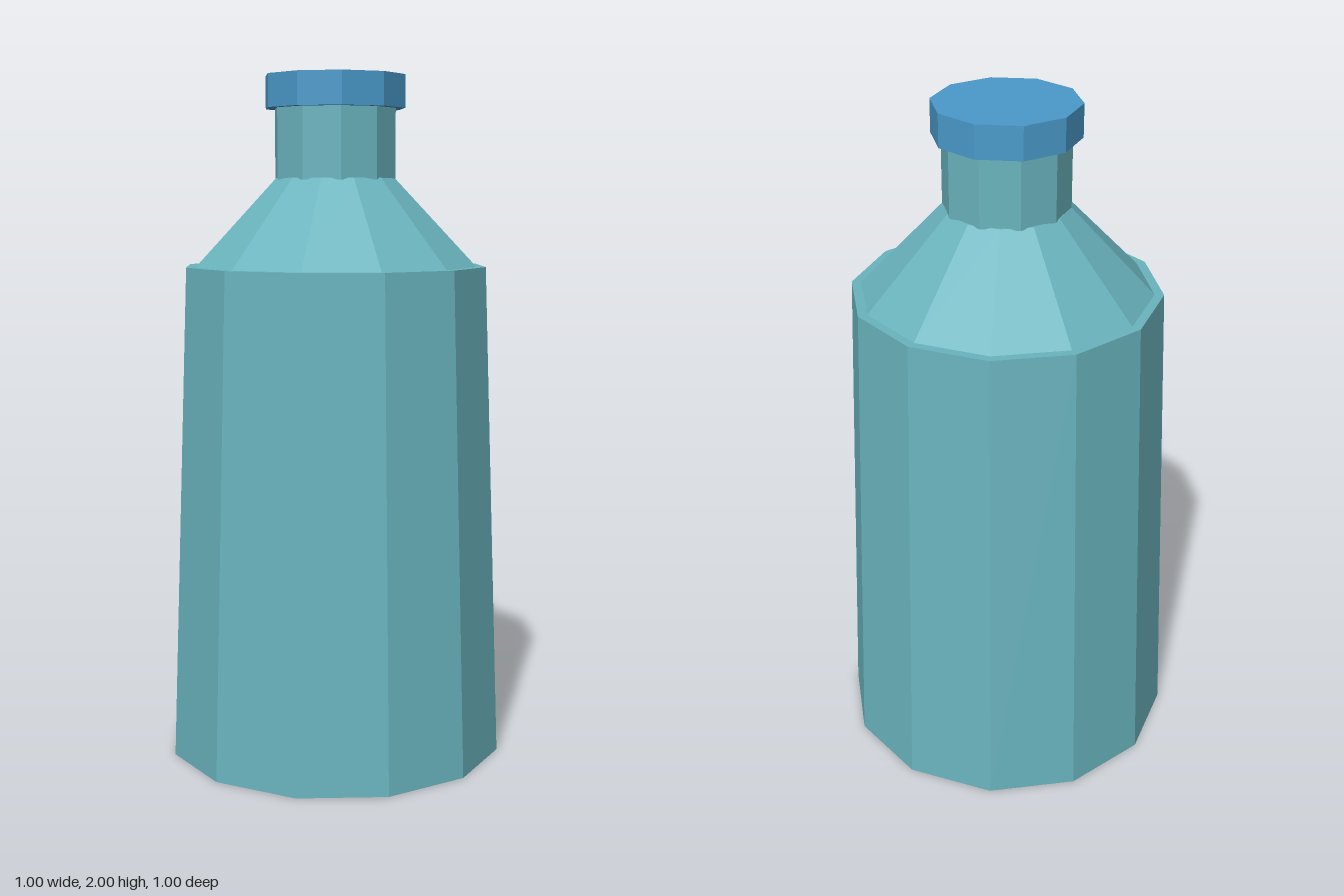
import * as THREE from 'three';

export function createModel() {
  const group = new THREE.Group();
  group.name = 'bottle';

  const glass = new THREE.MeshStandardMaterial({ color: 0x6ab4be, flatShading: true });
  glass.name = 'teal glass';
  const blue = new THREE.MeshStandardMaterial({ color: 0x4a9aca, flatShading: true });
  blue.name = 'blue cap';

  // Faceted, capped section between two heights; a corner lies on the x axis
  function section(name, material, sides, rBottom, rTop, y0, y1) {
    const geometry = new THREE.CylinderGeometry(rTop, rBottom, y1 - y0, sides);
    geometry.rotateY(Math.PI / 2);
    geometry.translate(0, (y0 + y1) / 2, 0);
    const mesh = new THREE.Mesh(geometry, material);
    mesh.name = name;
    group.add(mesh);
  }

  section('body', glass, 12, 0.5, 0.447, 0, 1.45);
  section('shoulder', glass, 12, 0.42, 0.178, 1.45, 1.705);
  section('neck', glass, 10, 0.18, 0.18, 1.7, 1.907);
  section('cap', blue, 10, 0.208, 0.208, 1.905, 2);

  return group;
}
